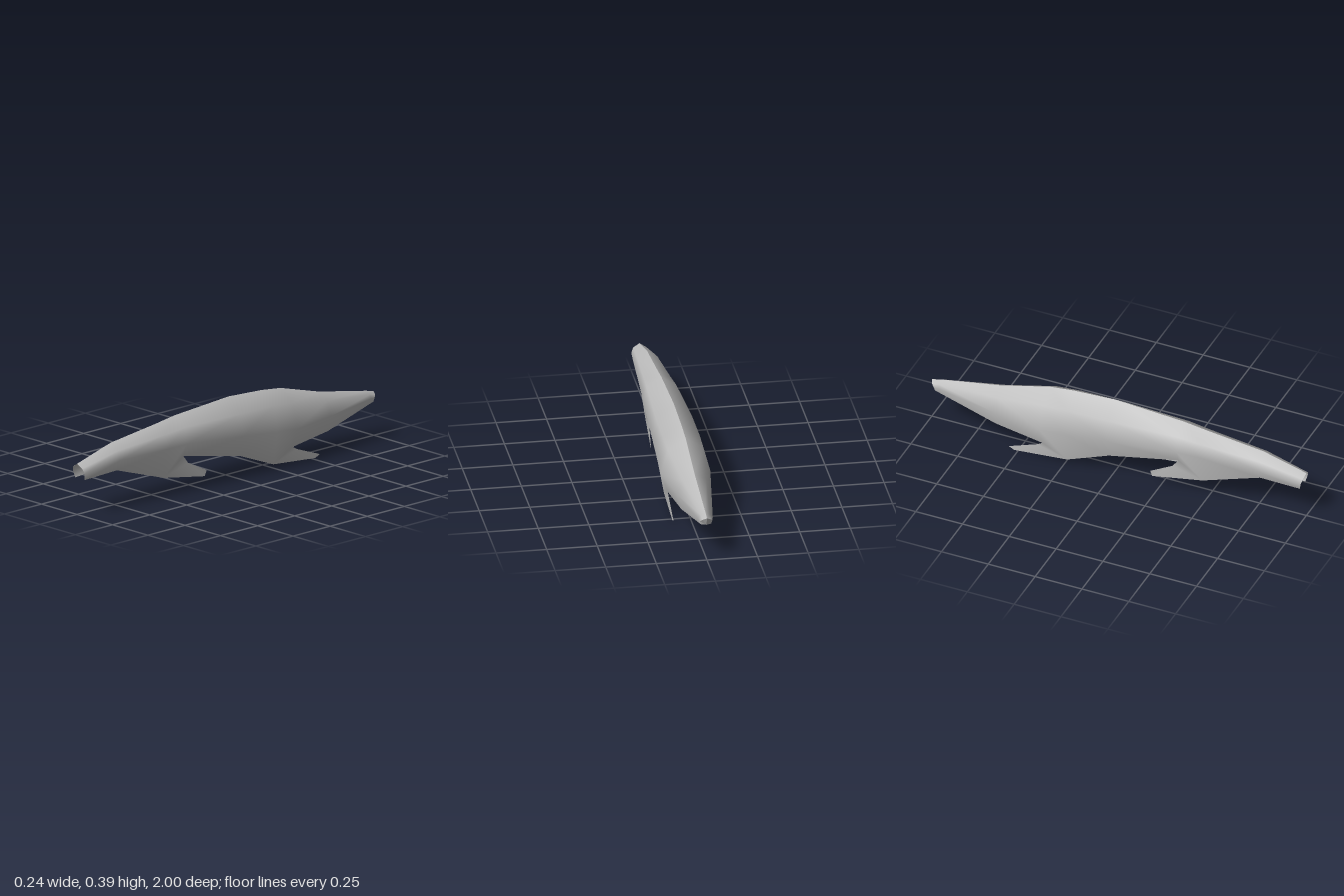
import * as THREE from 'three';

// Each station, nose to tail: ridge [y, z], then shoulder, flank and hem as [x, y, z]
const station = (z, ridgeY, shoulder, flank, hem) =>
  [[0, ridgeY, z], [...shoulder, z], [...flank, z], [...hem, z]];

const stations = [
  [[0, 0.257, 1], [0.032, 0.238, 0.995], [0.042, 0.213, 0.988], [0.033, 0.178, 0.98]],
  station(0.77, 0.32, [0.05, 0.288], [0.062, 0.24], [0.04, 0.187]),
  station(0.47, 0.355, [0.066, 0.312], [0.08, 0.242], [0.058, 0.092]),
  station(0.345, 0.372, [0.073, 0.325], [0.089, 0.245], [0.064, 0.18]),
  station(-0.02, 0.395, [0.089, 0.325], [0.107, 0.215], [0.08, 0.11]),
  station(-0.24, 0.383, [0.09, 0.322], [0.117, 0.195], [0.086, 0.024]),
  station(-0.37, 0.368, [0.088, 0.312], [0.122, 0.185], [0.088, 0.087]),
  station(-0.63, 0.297, [0.058, 0.262], [0.084, 0.19], [0.065, 0.111]),
  station(-0.95, 0.237, [0.023, 0.222], [0.037, 0.205], [0.031, 0.18]),
  [[0, 0.224, -1], [0.02, 0.213, -0.99], [0.03, 0.2, -0.976], [0.026, 0.182, -0.972]],
];

// Swept-back flaps: hem station where each starts, and its free corners
const flaps = [
  { start: 2, points: [[0.074, 0.052, 0.21], [0.077, 0.082, 0.2], [0.066, 0.14, 0.315]] },
  { start: 5, points: [[0.09, 0.001, -0.52], [0.09, 0.015, -0.55], [0.088, 0.07, -0.4]] },
];

// One half of the shell; each half is smooth, so the ridge stays sharp
function halfShell(side) {
  const positions = [], index = [];
  const add = ([x, y, z]) => positions.push(side * x, y, z) / 3 - 1;
  const tri = (a, b, c) => (side > 0 ? index.push(a, b, c) : index.push(a, c, b));
  const rows = stations.map(s => s.map(add));
  for (let i = 0; i < rows.length - 1; i++) {
    for (let j = 0; j < 3; j++) {
      const a = rows[i][j], b = rows[i][j + 1], c = rows[i + 1][j], d = rows[i + 1][j + 1];
      tri(a, b, c);
      tri(b, d, c);
    }
  }
  for (const { start, points } of flaps) {
    const [p1, p2, p3] = points.map(add);
    const front = rows[start][3], back = rows[start + 1][3];
    tri(p3, back, front);
    tri(p3, front, p1);
    tri(p3, p1, p2);
  }
  const geometry = new THREE.BufferGeometry();
  geometry.setAttribute('position', new THREE.Float32BufferAttribute(positions, 3));
  geometry.setIndex(index);
  geometry.computeVertexNormals();
  return geometry;
}

// Small plate closing the tail
function tailCap() {
  const ring = stations[stations.length - 1];
  const positions = [], base = [0, 0.183, -0.985];
  for (const side of [1, -1]) {
    const flip = ([x, y, z]) => [side * x, y, z];
    for (let j = 0; j < 3; j++) {
      const corners = [ring[j], ring[j + 1], base].map(flip);
      if (side < 0) corners.reverse();
      positions.push(...corners.flat());
    }
  }
  const geometry = new THREE.BufferGeometry();
  geometry.setAttribute('position', new THREE.Float32BufferAttribute(positions, 3));
  geometry.computeVertexNormals();
  return geometry;
}

export function createModel() {
  const group = new THREE.Group();
  group.name = 'openShell';
  const grey = new THREE.MeshStandardMaterial({ color: 0xbcbcbc, side: THREE.DoubleSide });
  grey.name = 'lightGrey';
  const part = (name, geometry) => {
    const mesh = new THREE.Mesh(geometry, grey);
    mesh.name = name;
    group.add(mesh);
  };
  part('leftShell', halfShell(1));
  part('rightShell', halfShell(-1));
  part('tailCap', tailCap());
  return group;
}
